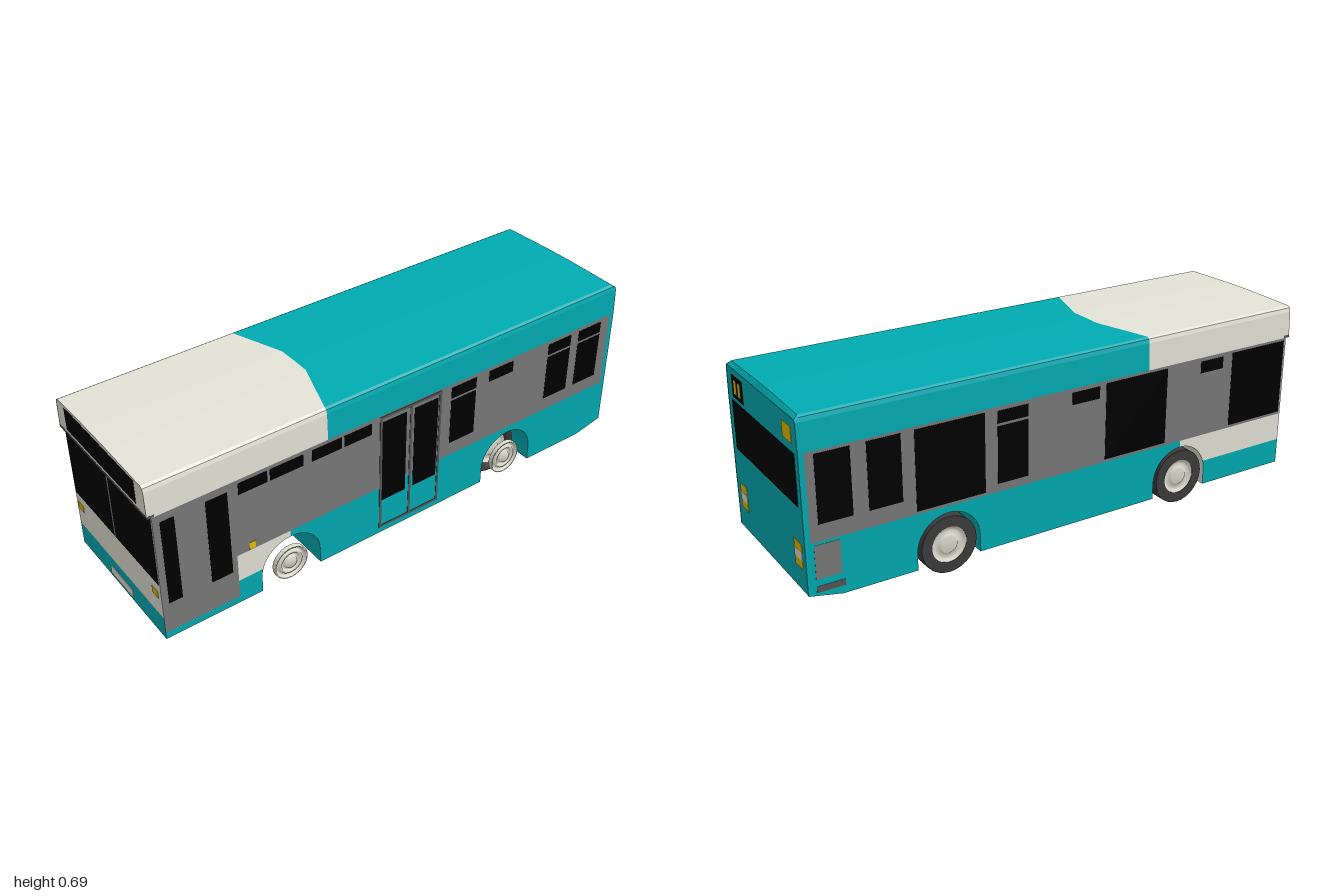
import * as THREE from 'three';

const mat = (name, color, side = THREE.FrontSide) => {
  const m = new THREE.MeshStandardMaterial({ color, side });
  m.name = name;
  return m;
};
const D = THREE.DoubleSide;
const teal = mat('teal paint', 0x00abb2, D);
const cream = mat('cream paint', 0xe4e3d7, D);
const grey = mat('grey band', 0x797979, D);
const glass = mat('black glass', 0x000000);
const amber = mat('amber lamp', 0xe4c000);
const trim = mat('dark trim', 0x555555);
const rubber = mat('tyre rubber', 0x3c3c3c);
const metal = mat('wheel metal', 0xd8d8cc, D);

const HW = 0.295, FRONT = 0.985, ARCH_R = 0.12, ARCH_Y = 0.105, SILL = 0.043, BELT = 0.25, EAVE = 0.56;
const AXLES = [0.49, -0.49];

export function createModel() {
  const bus = new THREE.Group();
  bus.name = 'bus';
  const add = (name, geo, material, parent = bus) => {
    const m = new THREE.Mesh(geo, material);
    m.name = name;
    parent.add(m);
    return m;
  };
  // box given by its limits on each axis
  const box = (name, m, [x0, x1], [y0, y1], [z0, z1]) => {
    const g = new THREE.BoxGeometry(x1 - x0, y1 - y0, z1 - z0);
    g.translate((x0 + x1) / 2, (y0 + y1) / 2, (z0 + z1) / 2);
    return add(name, g, m);
  };
  // flat wall in the side plane, drawn in (z, y)
  const wall = (name, m, side, shape) => {
    const g = new THREE.ShapeGeometry(shape, 20);
    g.rotateY(-Math.PI / 2);
    g.translate(side * HW, 0, 0);
    return add(name, g, m);
  };
  const poly = (pts) => new THREE.Shape(pts.map(([a, b]) => new THREE.Vector2(a, b)));
  const rect = (z0, z1, y0, y1) => poly([[z0, y0], [z1, y0], [z1, y1], [z0, y1]]);
  // thin plates laid on the side skins (outwards only) and on the front and rear skins
  const sidePlate = (name, m, side, z0, z1, y0, y1, t = 0.001) =>
    box(name, m, side > 0 ? [HW, HW + t] : [-HW - t, -HW], [y0, y1], [z0, z1]);
  const endPlate = (name, m, z, x0, x1, y0, y1, t = 0.0015) =>
    box(name, m, [x0, x1], [y0, y1], [z - t, z + t]);

  // side walls with wheel arch cut-outs
  const [zf, zr] = AXLES;
  const creamLow = 0.14;
  const cutAngle = Math.asin((creamLow - ARCH_Y) / ARCH_R);
  for (const side of [1, -1]) {
    const doorEdge = side > 0 ? 0.70 : FRONT;
    const low = new THREE.Shape();
    low.moveTo(-1, BELT);
    low.lineTo(-1, 0.068);
    low.lineTo(-0.88, SILL);
    low.lineTo(zr - ARCH_R, SILL);
    low.lineTo(zr - ARCH_R, ARCH_Y);
    low.absarc(zr, ARCH_Y, ARCH_R, Math.PI, 0, true);
    low.lineTo(zr + ARCH_R, SILL);
    low.lineTo(zf - ARCH_R, SILL);
    low.lineTo(zf - ARCH_R, ARCH_Y);
    low.absarc(zf, ARCH_Y, ARCH_R, Math.PI, Math.PI / 2, true);
    low.lineTo(zf, BELT);
    wall('lowerSide', teal, side, low);

    const panel = new THREE.Shape();
    panel.moveTo(zf, BELT);
    panel.lineTo(zf, ARCH_Y + ARCH_R);
    panel.absarc(zf, ARCH_Y, ARCH_R, Math.PI / 2, cutAngle, true);
    panel.lineTo(doorEdge, creamLow);
    panel.lineTo(doorEdge, BELT);
    wall('creamSidePanel', cream, side, panel);

    const skirt = new THREE.Shape();
    skirt.moveTo(doorEdge, creamLow);
    skirt.lineTo(zf + ARCH_R * Math.cos(cutAngle), creamLow);
    skirt.absarc(zf, ARCH_Y, ARCH_R, cutAngle, 0, true);
    skirt.lineTo(zf + ARCH_R, SILL);
    skirt.lineTo(doorEdge, SILL);
    wall('frontSkirt', teal, side, skirt);

    wall('windowBand', grey, side, rect(-0.98, FRONT, BELT, EAVE));
    wall('rearCornerPost', teal, side, rect(-1, -0.98, BELT, EAVE));
  }
  wall('frontDoor', grey, 1, rect(0.70, FRONT, 0.07, BELT));
  wall('frontDoorSill', teal, 1, rect(0.70, FRONT, SILL, 0.07));

  // side glazing: [z0, z1, y0, y1]
  const TOP = [0.5, 0.545], BIG = [0.305, 0.49];
  const rightGlass = [
    [0.91, 0.96, 0.19, 0.53], [0.72, 0.80, 0.19, 0.53],
    [0.57, 0.68, ...TOP], [0.43, 0.56, ...TOP], [0.275, 0.395, ...TOP], [0.15, 0.265, ...TOP],
    [0.0, 0.105, 0.19, 0.53], [-0.14, -0.035, 0.19, 0.53], [-0.49, -0.375, ...TOP],
  ];
  for (const z of [-0.315, -0.78, -0.935]) rightGlass.push([z, z + 0.115, ...TOP], [z, z + 0.115, ...BIG]);
  const leftGlass = [
    [0.72, 0.975, 0.26, 0.55], [0.57, 0.675, ...TOP], [0.145, 0.415, 0.26, 0.55], [0.002, 0.117, ...TOP],
    [-0.298, -0.178, ...TOP], [-0.298, -0.178, 0.28, 0.49], [-0.607, -0.347, 0.26, 0.55],
    [-0.775, -0.655, 0.31, 0.55], [-0.95, -0.83, 0.31, 0.55],
  ];
  for (const w of rightGlass) sidePlate('sideWindow', glass, 1, ...w);
  for (const w of leftGlass) sidePlate('sideWindow', glass, -1, ...w);

  // middle door frame, side lamp and engine vents
  for (const z of [0.105, -0.025, -0.155]) sidePlate('doorFrame', trim, 1, z, z + 0.01, 0.066, 0.555, 0.0015);
  for (const y of [0.066, 0.545]) sidePlate('doorFrame', trim, 1, -0.155, 0.115, y, y + 0.01, 0.0018);
  sidePlate('sideLamp', amber, 1, 0.628, 0.652, 0.253, 0.282);
  sidePlate('engineVent', grey, -1, -0.97, -0.88, 0.12, 0.24);
  sidePlate('lowerVent', trim, -1, -0.97, -0.87, 0.072, 0.095);

  // roof shell, split along an angled paint line, with a sloped rear lip
  const half = [[0.295, EAVE], [0.291, 0.66], [0.287, 0.675], [0.278, 0.681], [0.16, 0.684], [0.07, 0.686]];
  const section = [...half, [0, 0.6865], ...half.map(([x, y]) => [-x, y]).reverse()];
  const lipSection = section.map(([x, y]) => [x, Math.min(y, 0.67)]);
  const split = (x) => 0.26 + 0.07 * Math.min(1, Math.max(0, (Math.abs(x) - 0.07) / 0.208));
  const shell = (name, m, zA, zB, secB = section) => {
    const v = [];
    for (let i = 0; i + 1 < section.length; i++) {
      const [p, q, r, s] = [section[i], section[i + 1], secB[i], secB[i + 1]];
      const a = [...p, zA(p[0])], b = [...r, zB(r[0])], c = [...s, zB(s[0])], d = [...q, zA(q[0])];
      v.push(...a, ...b, ...c, ...a, ...c, ...d);
    }
    const g = new THREE.BufferGeometry();
    g.setAttribute('position', new THREE.Float32BufferAttribute(v, 3));
    g.computeVertexNormals();
    add(name, g, m);
  };
  shell('frontRoof', cream, () => 1, split);
  shell('rearRoof', teal, split, () => -0.985);
  shell('rearRoofLip', teal, () => -0.985, () => -1, lipSection);
  add('roofFrontCap', new THREE.ShapeGeometry(poly(section)), cream).position.z = 0.999;
  add('roofRearCap', new THREE.ShapeGeometry(poly(lipSection)), teal).position.z = -0.998;

  // front face
  box('frontPanel', cream, [-HW, HW], [0.135, EAVE], [FRONT - 0.004, FRONT]);
  box('frontBumper', teal, [-HW, HW], [SILL, 0.135], [FRONT - 0.004, FRONT]);
  box('frontGroove', trim, [-HW, HW], [0.561, 0.57], [0.975, 1.0]);
  endPlate('windscreen', glass, FRONT, -0.288, -0.004, 0.278, 0.552);
  endPlate('windscreen', glass, FRONT, 0.005, 0.287, 0.278, 0.552);
  endPlate('windscreenDivider', grey, FRONT, -0.004, 0.005, 0.278, 0.552);
  endPlate('frontSign', glass, 0.999, -0.237, 0.232, 0.582, 0.671, 0.001);
  endPlate('numberPlate', cream, FRONT, -0.08, 0.077, 0.055, 0.093);
  endPlate('headlamp', amber, FRONT, 0.236, 0.275, 0.21, 0.24);
  endPlate('headlamp', amber, FRONT, -0.285, -0.246, 0.21, 0.24);

  // rear face
  box('rearPanel', teal, [-HW, HW], [0.068, EAVE], [-0.998, -0.994]);
  const R = -0.998;
  endPlate('rearWindow', glass, R, -0.263, 0.263, 0.37, 0.55);
  endPlate('rearSign', glass, R, 0.155, 0.25, 0.565, 0.645);
  for (const x of [0.175, 0.212]) endPlate('signDigit', amber, R, x, x + 0.02, 0.58, 0.63, 0.002);
  endPlate('highLamp', amber, R, -0.25, -0.18, 0.58, 0.635);
  for (const x of [-0.265, 0.205]) {
    endPlate('tailLamp', amber, R, x, x + 0.06, 0.15, 0.24);
    endPlate('reverseLamp', cream, R, x, x + 0.06, 0.18, 0.21, 0.002);
  }

  // floor above the open underside
  box('frontFloor', cream, [-HW + 0.001, HW - 0.001], [0.246, 0.249], [zf, FRONT - 0.004]);
  box('rearFloor', teal, [-HW + 0.001, HW - 0.001], [0.246, 0.249], [-0.994, zf]);

  // wheel tunnels across the full width
  AXLES.forEach((z) => {
    for (const dir of [1, -1]) {
      const m = z > 0 && dir > 0 ? cream : teal;
      const g = new THREE.CylinderGeometry(ARCH_R, ARCH_R, 2 * HW, 10, 1, true, dir > 0 ? 0 : Math.PI / 2, Math.PI / 2);
      g.rotateZ(Math.PI / 2);
      g.translate(0, ARCH_Y, z);
      add('wheelTunnel', g, m);
      const p = new THREE.PlaneGeometry(2 * HW, ARCH_Y - SILL);
      p.translate(0, (ARCH_Y + SILL) / 2, z + dir * ARCH_R);
      add('tunnelSide', p, m);
    }
  });

  // wheels: square-shouldered tyre with a dished rim on each face, and a ringed hub plate
  const lathe = (pts) => {
    const g = new THREE.LatheGeometry(pts.map(([r, x]) => new THREE.Vector2(r, x)), 28);
    g.rotateZ(-Math.PI / 2);
    return g;
  };
  const tyre = lathe([[0.066, -0.03], [0.104, -0.03], [0.105, -0.029], [0.105, 0.029], [0.104, 0.03], [0.066, 0.03], [0.066, -0.03]]);
  const rimProfile = [[0.067, 0.029], [0.058, 0.024], [0.05, 0.02], [0.035, 0.024], [0.03, 0.03], [0, 0.03]];
  const rims = [1, -1].map((s) => lathe(rimProfile.map(([r, x]) => [r, s * x])));
  const hub = lathe([[0.068, 0.088], [0.068, 0.102], [0.062, 0.103], [0.058, 0.094], [0.05, 0.092], [0.047, 0.1],
    [0.038, 0.101], [0.035, 0.093], [0.026, 0.093], [0.023, 0.103], [0, 0.104]]);
  const wheel = (x, z, hasTyre, hasHub) => {
    const w = new THREE.Group();
    w.name = 'wheel';
    w.position.set(x, 0.105, z);
    if (hasTyre) {
      add('tyre', tyre, rubber, w);
      for (const r of rims) add('rim', r, metal, w);
    }
    if (hasHub) add('hub', hub, metal, w);
    bus.add(w);
  };
  wheel(-0.265, zf, true, false);
  wheel(0.19, zf, false, true);
  wheel(-0.265, zr, true, true);
  wheel(0.19, zr, true, true);
  return bus;
}
